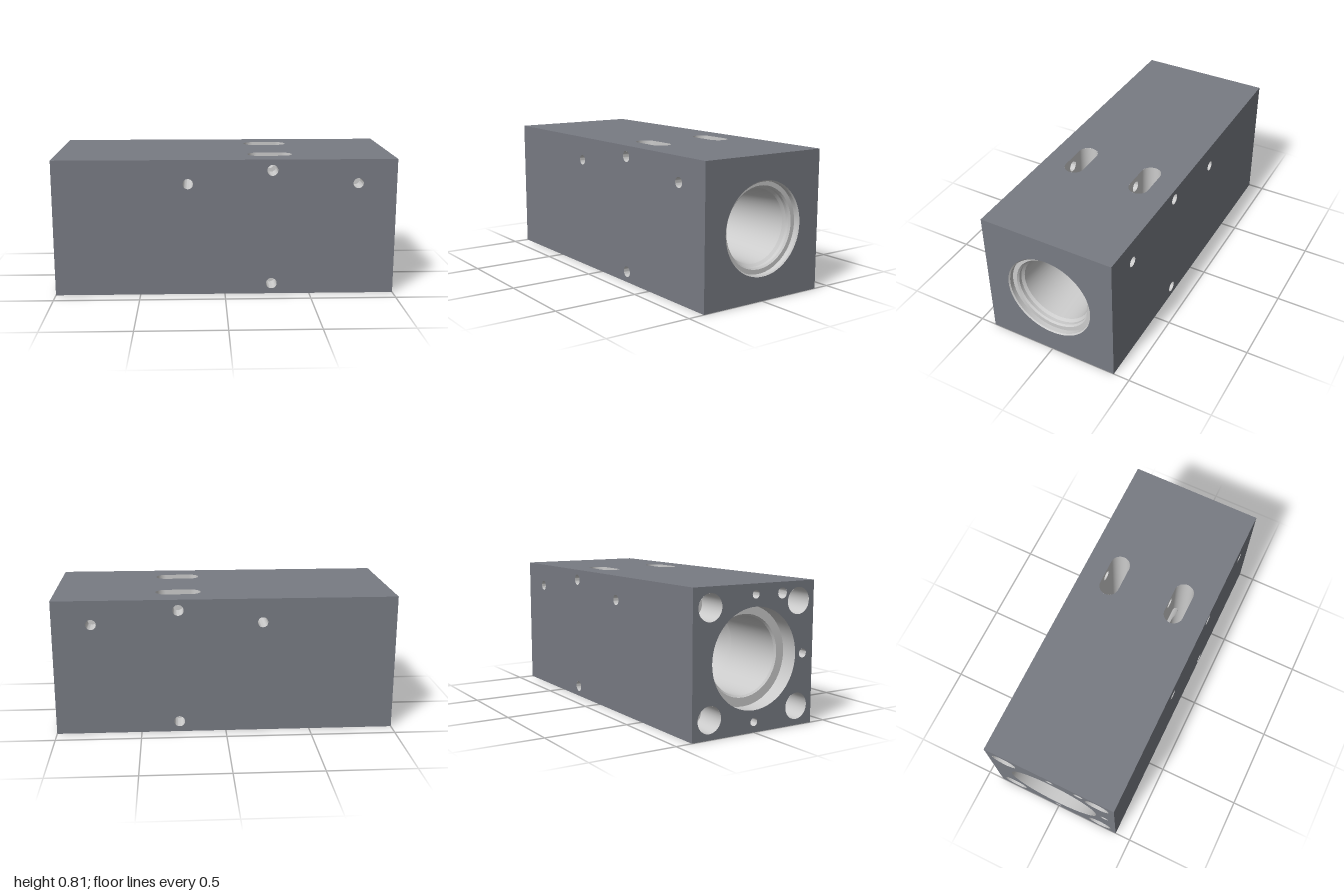
import * as THREE from 'three';
import { toCreasedNormals } from 'three/addons/utils/BufferGeometryUtils.js';
import { ParametricGeometry } from 'three/addons/geometries/ParametricGeometry.js';

const H = 0.403;                 // half height and half depth of the block
const R = 0.174;                 // narrowest radius of the main bore
const SLOT = { x: 0.272, z: 0.211, half: 0.074, r: 0.059 };
const X0 = -0.4, X1 = 0.45;      // straight middle part of the bore
const PIN = { x: 0.275, y: 0.34, r: 0.032 };
const SIDE = { y: 0.262, r: 0.03, through: -0.215, blind: 0.775 };

const outer = new THREE.MeshStandardMaterial({ color: 0x787b83 });
const inner = new THREE.MeshStandardMaterial({ color: 0xcccccc, side: THREE.DoubleSide });

// height of the main bore above its axis at a given z
const boreHeight = (z) => Math.sqrt(Math.max(0, R * R - z * z));

function circle(x, y, r) {
  return new THREE.Path().absarc(x, y, r, 0, Math.PI * 2, true);
}

function rect(x0, y0, x1, y1) {
  return new THREE.Shape([[x0, y0], [x1, y0], [x1, y1], [x0, y1]].map(p => new THREE.Vector2(...p)));
}

function stadium(x, y) {
  const { half, r } = SLOT;
  const p = new THREE.Path();
  p.absarc(x + half, y, r, -Math.PI / 2, Math.PI / 2, false);
  p.absarc(x - half, y, r, Math.PI / 2, Math.PI * 1.5, false);
  p.closePath();
  return p;
}

export function createModel() {
  const model = new THREE.Group();
  model.name = 'boredBlock';
  model.position.y = H;

  function add(name, geometry, material = inner) {
    const mesh = new THREE.Mesh(geometry, material);
    mesh.name = name;
    model.add(mesh);
    return mesh;
  }

  // flat outside face with cut-outs
  function face(name, halfWidth, holes, position, rx, ry) {
    const shape = rect(-halfWidth, -H, halfWidth, H);
    shape.holes.push(...holes);
    const mesh = add(name, new THREE.ShapeGeometry(shape, 32), outer);
    mesh.position.set(...position);
    mesh.rotation.set(rx, ry, 0);
  }

  // turned hole; profile is [radius, coordinate along the axis]
  function hole(name, axis, a, b, profile, segments = 32) {
    const points = profile.map(p => new THREE.Vector2(...p));
    const geo = toCreasedNormals(new THREE.LatheGeometry(points, segments), 0.4);
    if (axis === 'x') geo.rotateZ(-Math.PI / 2).translate(0, a, b);
    else geo.rotateX(Math.PI / 2).translate(a, b, 0);
    add(name, geo);
  }

  // outside faces
  const sideHoles = (s) => [
    circle(s * SIDE.through, SIDE.y, SIDE.r), circle(s * SIDE.blind, SIDE.y, SIDE.r),
    circle(s * PIN.x, PIN.y, PIN.r), circle(s * PIN.x, -PIN.y, PIN.r),
  ];
  const slots = () => [stadium(SLOT.x, SLOT.z), stadium(SLOT.x, -SLOT.z)];
  const corners = [[1, 1], [1, -1], [-1, 1], [-1, -1]].map(([y, z]) => [y * 0.294, z * 0.294]);
  const smallHoles = [[0.345, 0, 0.023], [0.342, 0.18, 0.03], [0, 0.333, 0.025], [-0.345, 0, 0.023]];
  face('frontFace', 1, sideHoles(1), [0, 0, H], 0, 0);
  face('backFace', 1, sideHoles(-1), [0, 0, -H], 0, Math.PI);
  face('topFace', 1, slots(), [0, H, 0], -Math.PI / 2, 0);
  face('bottomFace', 1, slots(), [0, -H, 0], Math.PI / 2, 0);
  face('boreEndFace', H, [circle(0, 0, 0.265)], [1, 0, 0], 0, Math.PI / 2);
  face('boltedEndFace', H, [
    circle(0, 0, 0.28),
    ...corners.map(([y, z]) => circle(z, y, 0.075)),
    ...smallHoles.map(([y, z, r]) => circle(z, y, r)),
  ], [-1, 0, 0], 0, -Math.PI / 2);

  // stepped and tapered ends of the main bore
  hole('steppedBoreEnd', 'x', 0, 0, [
    [0.265, 1], [0.258, 0.993], [0.258, 0.965], [0.232, 0.965], [0.223, 0.955],
    [0.223, 0.935], [0.21, 0.92], [R, X1],
  ], 64);
  hole('counterboredEnd', 'x', 0, 0, [
    [0.28, -1], [0.28, -0.9], [0.23, -0.9], [0.22, -0.89], [0.22, -0.5], [R, X0],
  ], 64);

  // straight middle of the bore, opened where the slots break through
  const t0 = Math.acos((SLOT.z - SLOT.r) / R);
  const gap = (z) => SLOT.half + Math.sqrt(Math.max(0, SLOT.r ** 2 - (Math.abs(z) - SLOT.z) ** 2));
  function borePatch(from, to, xa, xb) {
    add('middleBore', new ParametricGeometry((u, v, p) => {
      const a = from + (to - from) * u, z = R * Math.cos(a);
      p.set(xa(z) + (xb(z) - xa(z)) * v, R * Math.sin(a), z);
    }, 24, 1));
  }
  for (const turn of [0, Math.PI]) {
    borePatch(turn + t0, turn + Math.PI - t0, () => X0, () => X1);
    borePatch(turn - t0, turn + t0, () => X0, z => SLOT.x - gap(z));
    borePatch(turn - t0, turn + t0, z => SLOT.x + gap(z), () => X1);
  }

  // slot walls, above and below the bore
  for (const side of [1, -1]) for (const up of [1, -1]) {
    for (const end of [1, -1]) {
      add('slotRoundEnd', new ParametricGeometry((u, v, p) => {
        const a = (u - 0.5) * Math.PI;
        const z = SLOT.z + SLOT.r * Math.sin(a), h = boreHeight(z);
        p.set(SLOT.x + end * (SLOT.half + SLOT.r * Math.cos(a)), up * (h + (H - h) * v), side * z);
      }, 24, 1));
      const z = SLOT.z + end * SLOT.r, h = boreHeight(z);
      const wall = rect(SLOT.x - SLOT.half, Math.min(up * h, up * H), SLOT.x + SLOT.half, Math.max(up * h, up * H));
      wall.holes.push(circle(PIN.x, up * PIN.y, PIN.r));
      add('slotFlatWall', new THREE.ShapeGeometry(wall, 32)).position.z = side * z;
    }
  }

  // cross holes from front to back, interrupted by the slots
  const zi = SLOT.z - SLOT.r, zo = SLOT.z + SLOT.r;
  for (const up of [1, -1]) for (const [a, b] of [[-H, -zo], [-zi, zi], [zo, H]]) {
    hole('pinHole', 'z', PIN.x, up * PIN.y, [[PIN.r, a], [PIN.r, b]]);
  }
  hole('throughHole', 'z', SIDE.through, SIDE.y, [[SIDE.r, -H], [SIDE.r, H]]);
  for (const s of [1, -1]) {
    hole('blindSideHole', 'z', SIDE.blind, SIDE.y, [[SIDE.r, s * H], [SIDE.r, s * 0.28], [0, s * 0.28]]);
  }

  // counterbored corner bolt holes and small threaded holes
  for (const [y, z] of corners) {
    hole('boltHole', 'x', y, z, [[0.075, -1], [0.075, -0.82], [0.048, -0.82], [0.048, -0.5], [0, -0.5]]);
  }
  for (const [y, z, r] of smallHoles) {
    hole('smallEndHole', 'x', y, z, [[r, -1], [r, -0.88], [0, -0.87]], 24);
  }
  return model;
}
